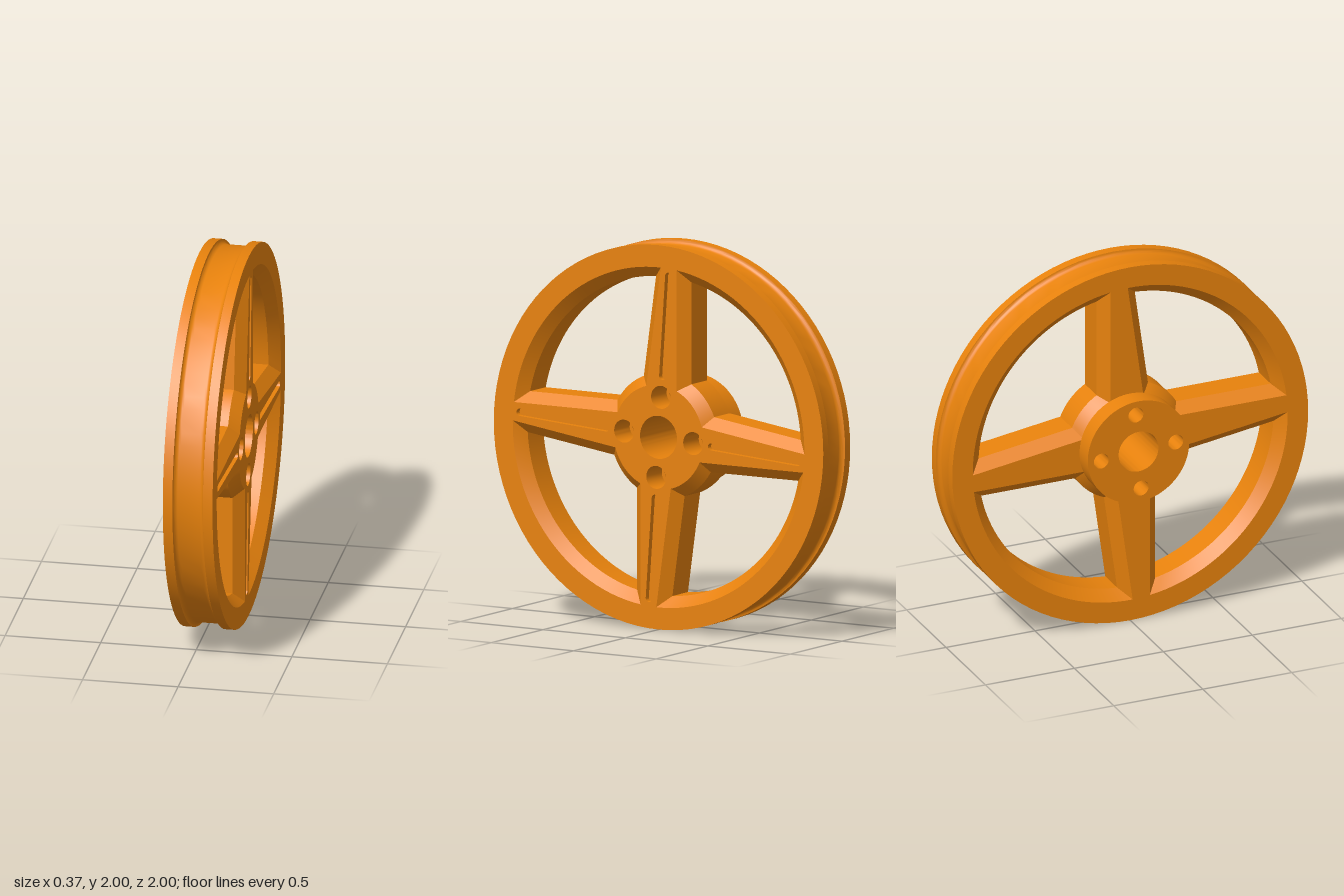
import * as THREE from 'three';
import { toCreasedNormals } from 'three/addons/utils/BufferGeometryUtils.js';

// The wheel is drawn in the XY plane with its axle along Z, then turned onto X.
const FRONT = 0.18, BACK = -0.08, BOSS = -0.185;
const BEVEL = 0.055;
const BORE = 0.112, BOLT_R = 0.042, BOLT_SEAT = 0.06, BOLT_DIST = 0.21;
const TILT = -4 * Math.PI / 180;
const SPOKES = [0, 1, 2, 3].map(k => TILT + k * Math.PI / 2);

const polar = (r, a) => new THREE.Vector2(r * Math.cos(a), r * Math.sin(a));

function arc(r, a0, a1, n, c = new THREE.Vector2()) {
  const pts = [];
  for (let i = 0; i <= n; i++) pts.push(polar(r, a0 + (a1 - a0) * i / n).add(c));
  return pts;
}

const circle = (r, n = 96, c) => arc(r, 0, Math.PI * 2, n, c).slice(0, n);

// Angle from a spoke's centre line to its tapered edge at radius r
function edgeAngle(r, e) {
  let h = 0.1;
  for (let i = 0; i < 8; i++) h = 0.165 - 0.07 * Math.sqrt(r * r - h * h) - e;
  return Math.asin(h / r);
}

// Opening between two spokes, grown outwards by e
function windowLoop(a, e) {
  const ri = 0.327 - e, ro = 0.83 + e;
  const ai = edgeAngle(ri, e), ao = edgeAngle(ro, e), q = a + Math.PI / 2;
  return [...arc(ro, a + ao, q - ao, 28), ...arc(ri, q - ai, a + ai, 14)];
}

// Narrow round-ended groove along a spoke
function slotLoop(a) {
  const w = 0.019, h = Math.PI / 2;
  return [...arc(w, a - h, a + h, 10, polar(0.845, a)), ...arc(w, a + h, a + 3 * h, 10, polar(0.32, a))];
}

// Flat sheet facing +Z, or -Z when flipped
function sheet(outline, holes, z, flip = false) {
  const shape = new THREE.Shape(outline);
  shape.holes = holes.map(h => new THREE.Path(h));
  const g = new THREE.ShapeGeometry(shape);
  g.translate(0, 0, z);
  if (flip) {
    g.index.array.reverse();
    g.computeVertexNormals();
  }
  return g;
}

// Wall through rings [loop, z]: front to back faces inwards, back to front outwards
function wall(rings) {
  const n = rings[0][0].length, pos = [], idx = [];
  for (const [loop, z] of rings) for (const p of loop) pos.push(p.x, p.y, z);
  for (let r = 0; r < rings.length - 1; r++) {
    for (let i = 0; i < n; i++) {
      const a = r * n + i, b = r * n + (i + 1) % n;
      idx.push(a, b, b + n, a, b + n, a + n);
    }
  }
  const g = new THREE.BufferGeometry();
  g.setAttribute('position', new THREE.Float32BufferAttribute(pos, 3));
  g.setIndex(idx);
  return toCreasedNormals(g, 0.4);
}

export function createModel() {
  const material = new THREE.MeshStandardMaterial({ color: 0xe8820c });
  const wheel = new THREE.Group();
  wheel.name = 'wheel';
  const add = (name, geometry) => {
    const mesh = new THREE.Mesh(geometry, material);
    mesh.name = name;
    wheel.add(mesh);
  };

  const bolts = r => SPOKES.map(a => circle(r, 32, polar(BOLT_DIST, a)));
  const slots = SPOKES.map(slotLoop);
  const wide = SPOKES.map(a => windowLoop(a, BEVEL));
  const narrow = SPOKES.map(a => windowLoop(a, 0));
  const seats = bolts(BOLT_SEAT), shafts = bolts(BOLT_R);

  // Rim, spoke and hub faces
  add('frontFace', sheet(circle(1), [circle(BORE), ...wide, ...slots, ...seats], FRONT));
  add('backFace', sheet(circle(1), [circle(0.26), ...wide], BACK, true));

  // Outer rim with a grooved tread, its floor filleted into both flanges
  const tread = [[1, BACK], [1, -0.03]];
  for (let i = 0; i <= 6; i++) {
    const t = i / 6 * Math.PI / 2;
    tread.push([1 - 0.026 * Math.sin(t), -0.03 + 0.03 * (1 - Math.cos(t))]);
  }
  const mirrored = tread.map(([r, z]) => [r, FRONT + BACK - z]).reverse();
  add('rimTread', wall([...tread, ...mirrored].map(([r, z]) => [circle(r), z])));

  // Rear hub boss
  add('hubBoss', wall([[circle(0.285), BOSS], [circle(0.285), BACK]]));
  add('hubBossShoulder', sheet(circle(0.285), [circle(0.25)], BACK));
  add('hubBossFace', sheet(circle(0.285), [circle(BORE), ...shafts], BOSS, true));
  add('axleBore', wall([[circle(BORE), FRONT], [circle(BORE), BOSS]]));

  // Chamfered openings, grooves and counterbored bolt holes
  const seatZ = FRONT - 0.15, slotZ = FRONT - 0.03;
  SPOKES.forEach((_, k) => {
    add('spokeOpening', wall([
      [wide[k], FRONT], [narrow[k], FRONT - BEVEL], [narrow[k], BACK + BEVEL], [wide[k], BACK],
    ]));
    add('spokeGroove', wall([[slots[k], FRONT], [slots[k], slotZ]]));
    add('spokeGrooveFloor', sheet(slots[k], [], slotZ));
    add('boltCounterbore', wall([[seats[k], FRONT], [seats[k], seatZ]]));
    add('boltSeat', sheet(seats[k], [shafts[k]], seatZ));
    add('boltHole', wall([[shafts[k], seatZ], [shafts[k], BOSS]]));
  });

  wheel.rotation.y = Math.PI / 2;
  wheel.position.y = 1;
  const model = new THREE.Group();
  model.name = 'spokedWheel';
  model.add(wheel);
  return model;
}
